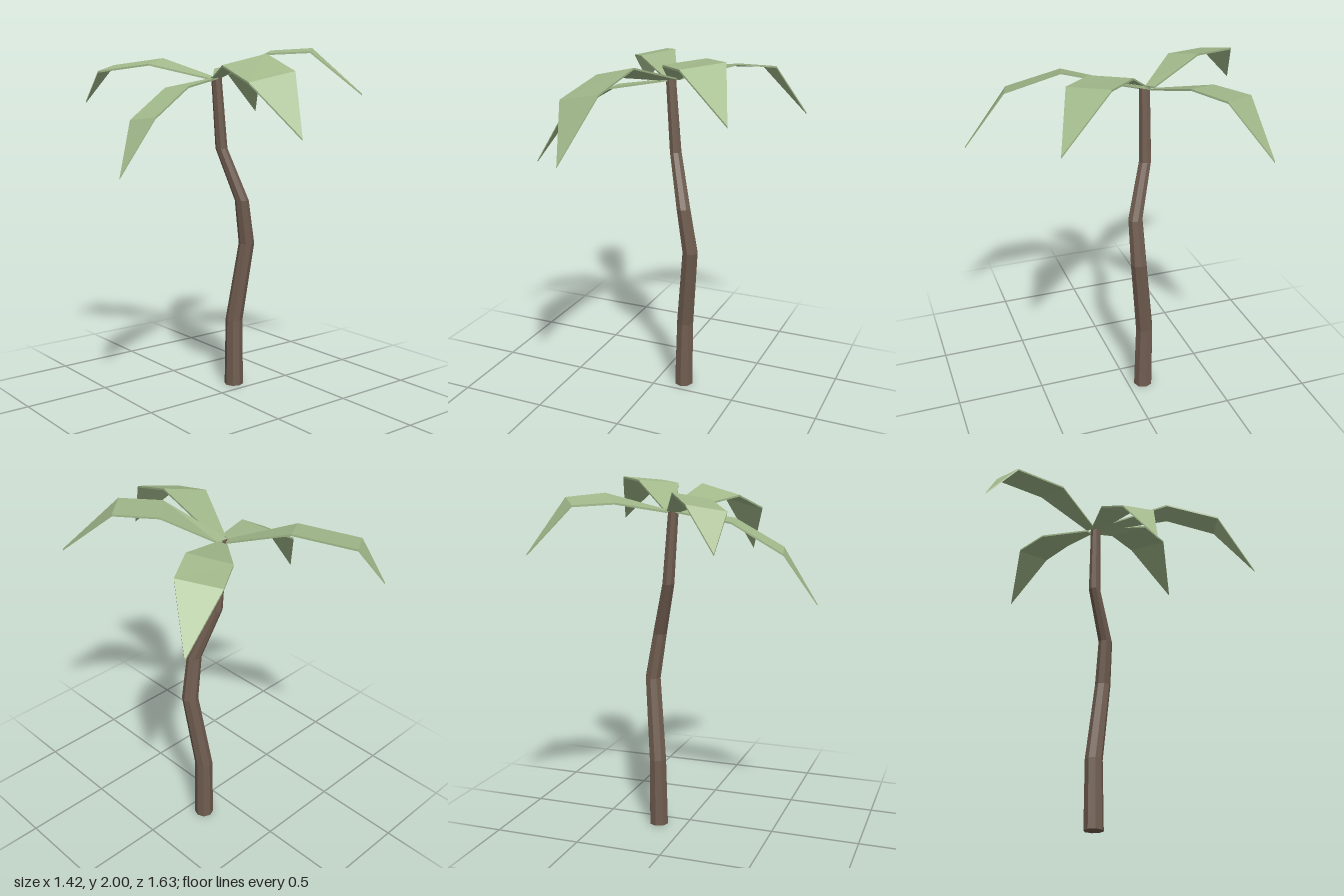
import * as THREE from 'three';

const bark = new THREE.MeshStandardMaterial({ color: 0x705d50, flatShading: true });
bark.name = 'bark brown';
const green = new THREE.MeshStandardMaterial({ color: 0xa2b98b, flatShading: true });
green.name = 'frond green';

// Trunk rings from the ground up: x, y, z, radius
const RINGS = [
  [0.162, 0, -0.092, 0.056],
  [0.165, 0.4, -0.095, 0.051],
  [0.212, 0.87, -0.038, 0.046],
  [0.17, 1.13, -0.032, 0.041],
  [0.086, 1.43, -0.116, 0.035],
  [0.053, 1.835, -0.12, 0.03],
];

// Fronds: left/right edge points from the crown outwards, then the tip
const FRONDS = {
  frontFrond: [
    [[0.085, 1.835, -0.15], [0.025, 1.83, -0.13]],
    [[0.04, 1.96, 0.33], [-0.205, 1.9, 0.265]],
    [[-0.015, 1.87, 0.615], [-0.265, 1.815, 0.555]],
    [[-0.145, 1.55, 0.815]],
  ],
  rightFrond: [
    [[0.045, 1.835, -0.095], [0.03, 1.83, -0.15]],
    [[-0.25, 1.79, 0.03], [-0.28, 1.78, -0.15]],
    [[-0.51, 1.635, 0.098], [-0.55, 1.615, -0.085]],
    [[-0.71, 1.335, 0.063]],
  ],
  backRightFrond: [
    [[0.02, 1.83, -0.135], [0.07, 1.84, -0.17]],
    [[-0.24, 1.91, -0.37], [-0.07, 1.945, -0.475]],
    [[-0.41, 1.87, -0.65], [-0.24, 1.905, -0.755]],
    [[-0.4, 1.69, -0.82]],
  ],
  backLeftFrond: [
    [[0.065, 1.83, -0.175], [0.1, 1.84, -0.135]],
    [[0.267, 1.885, -0.42], [0.4, 1.925, -0.233]],
    [[0.45, 1.875, -0.54], [0.58, 1.905, -0.35]],
    [[0.71, 1.62, -0.557]],
  ],
  frontLeftFrond: [
    [[0.1, 1.84, -0.14], [0.03, 1.835, -0.14]],
    [[0.32, 1.985, 0.04], [0.145, 1.965, 0.215]],
    [[0.485, 1.998, 0.207], [0.306, 1.975, 0.38]],
    [[0.598, 1.746, 0.493]],
  ],
};

// Bent, tapering trunk: each ring of a cylinder is moved to its place
function buildTrunk() {
  const geo = new THREE.CylinderGeometry(1, 1, 1, 8, RINGS.length - 1);
  const p = geo.attributes.position;
  for (let i = 0; i < p.count; i++) {
    const [x, y, z, r] = RINGS[Math.round((p.getY(i) + 0.5) * (RINGS.length - 1))];
    p.setXYZ(i, x + p.getX(i) * r, y, z + p.getZ(i) * r);
  }
  geo.computeVertexNormals();
  const mesh = new THREE.Mesh(geo, bark);
  mesh.name = 'trunk';
  return mesh;
}

// Thin solid blade swept through its edge pairs, ending in a point
function buildFrond(name, sections) {
  const thickness = 0.01;
  const pos = [];
  const quad = (a, b, c, d) => pos.push(...a, ...b, ...c, ...a, ...c, ...d);
  const rows = sections.map(([a, b = a]) => {
    const under = ([x, y, z]) => [x, y - thickness, z];
    return { a, b, ua: under(a), ub: under(b) };
  });
  for (let i = 0; i < rows.length - 1; i++) {
    const r = rows[i], n = rows[i + 1];
    if (n.a === n.b) {
      pos.push(...r.a, ...r.b, ...n.a, ...r.ub, ...r.ua, ...n.ua);
    } else {
      quad(r.a, r.b, n.b, n.a);
      quad(r.ub, r.ua, n.ua, n.ub);
    }
    quad(r.ua, r.a, n.a, n.ua);
    quad(r.b, r.ub, n.ub, n.b);
  }
  quad(rows[0].ua, rows[0].ub, rows[0].b, rows[0].a);
  const geo = new THREE.BufferGeometry();
  geo.setAttribute('position', new THREE.Float32BufferAttribute(pos, 3));
  geo.computeVertexNormals();
  const mesh = new THREE.Mesh(geo, green);
  mesh.name = name;
  return mesh;
}

export function createModel() {
  const palm = new THREE.Group();
  palm.name = 'palmTree';
  const crown = new THREE.Group();
  crown.name = 'crown';
  for (const [name, sections] of Object.entries(FRONDS)) crown.add(buildFrond(name, sections));
  palm.add(buildTrunk(), crown);
  return palm;
}
